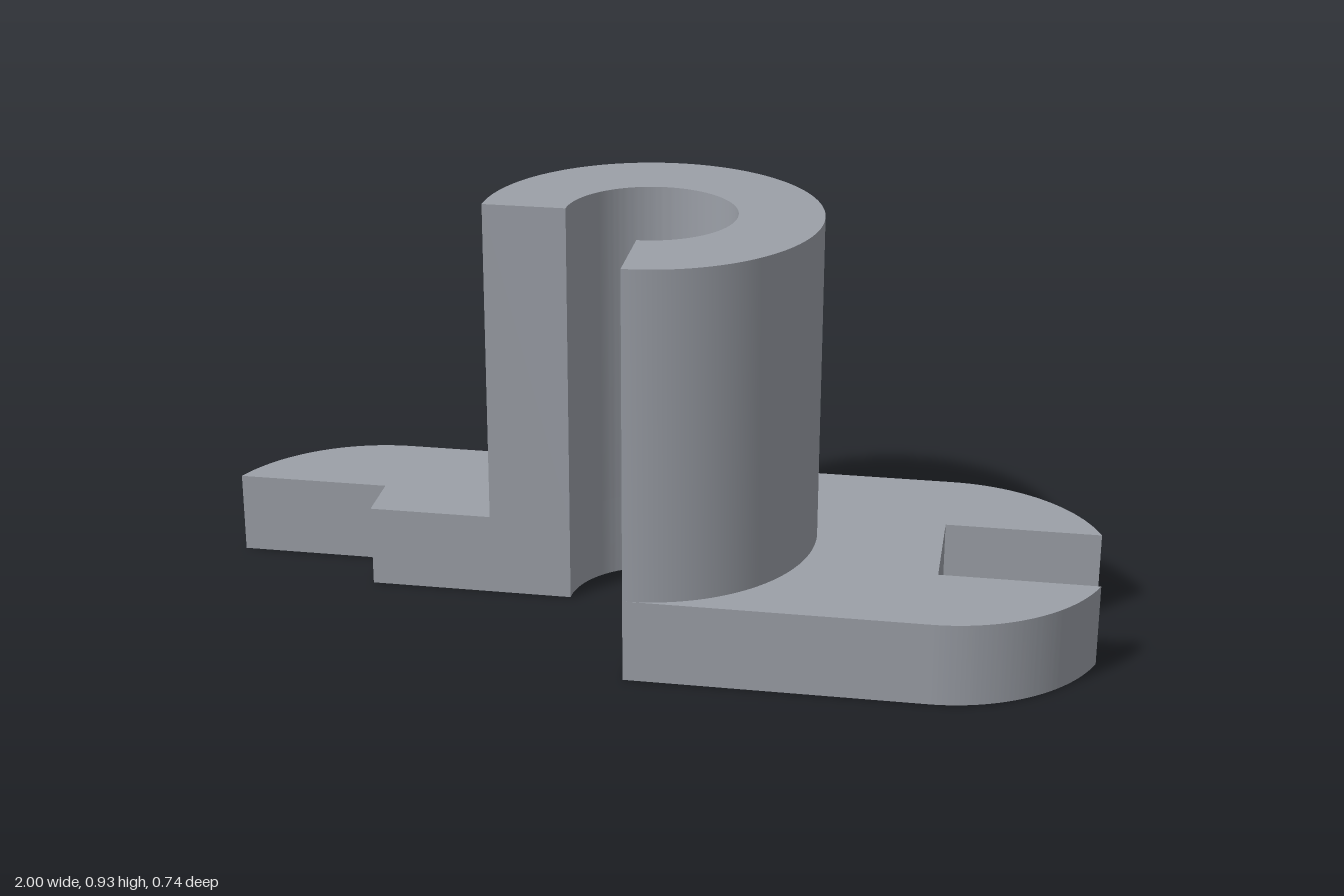
import * as THREE from 'three';
import { toCreasedNormals } from 'three/addons/utils/BufferGeometryUtils.js';

const R = 0.372;       // outer radius and half depth of the flange
const BORE = 0.187;    // bore radius
const END = 0.651;     // centre of the rounded ends, bottom of the slots
const SLOT = 0.131;    // half width of the slots
const FLANGE = 0.187;  // flange thickness
const TOP = 0.93;      // overall height

const material = new THREE.MeshStandardMaterial({ color: 0x9ca0a8 });

// Plan outline (shape y = back) raised from one height to another
function raise(name, shape, from, to) {
  const extruded = new THREE.ExtrudeGeometry(shape, {
    depth: to - from, bevelEnabled: false, curveSegments: 64,
  });
  extruded.rotateX(-Math.PI / 2).translate(0, from, 0);
  const mesh = new THREE.Mesh(toCreasedNormals(extruded, 0.4), material);
  mesh.name = name;
  return mesh;
}

// Slotted flange with its front right quarter cut away
function flangeShape() {
  const a = Math.asin(SLOT / R);
  const q = Math.PI / 2;
  const s = new THREE.Shape();
  s.moveTo(END, -SLOT);
  s.lineTo(END, SLOT);
  s.absarc(END, 0, R, a, q, false);
  s.absarc(-END, 0, R, q, Math.PI - a, false);
  s.lineTo(-END, SLOT);
  s.lineTo(-END, 0);
  s.absarc(0, 0, BORE, Math.PI, -q, true);
  s.lineTo(0, -R);
  s.absarc(END, 0, R, -q, -a, false);
  s.closePath();
  return s;
}

// Three-quarter ring
function sleeveShape() {
  const s = new THREE.Shape();
  s.absarc(0, 0, R, -Math.PI / 2, Math.PI, false);
  s.absarc(0, 0, BORE, Math.PI, -Math.PI / 2, true);
  s.closePath();
  return s;
}

export function createModel() {
  const group = new THREE.Group();
  group.name = 'cutawayFlangedSleeve';
  group.add(
    raise('flange', flangeShape(), 0, FLANGE),
    raise('sleeve', sleeveShape(), FLANGE, TOP),
  );
  return group;
}
